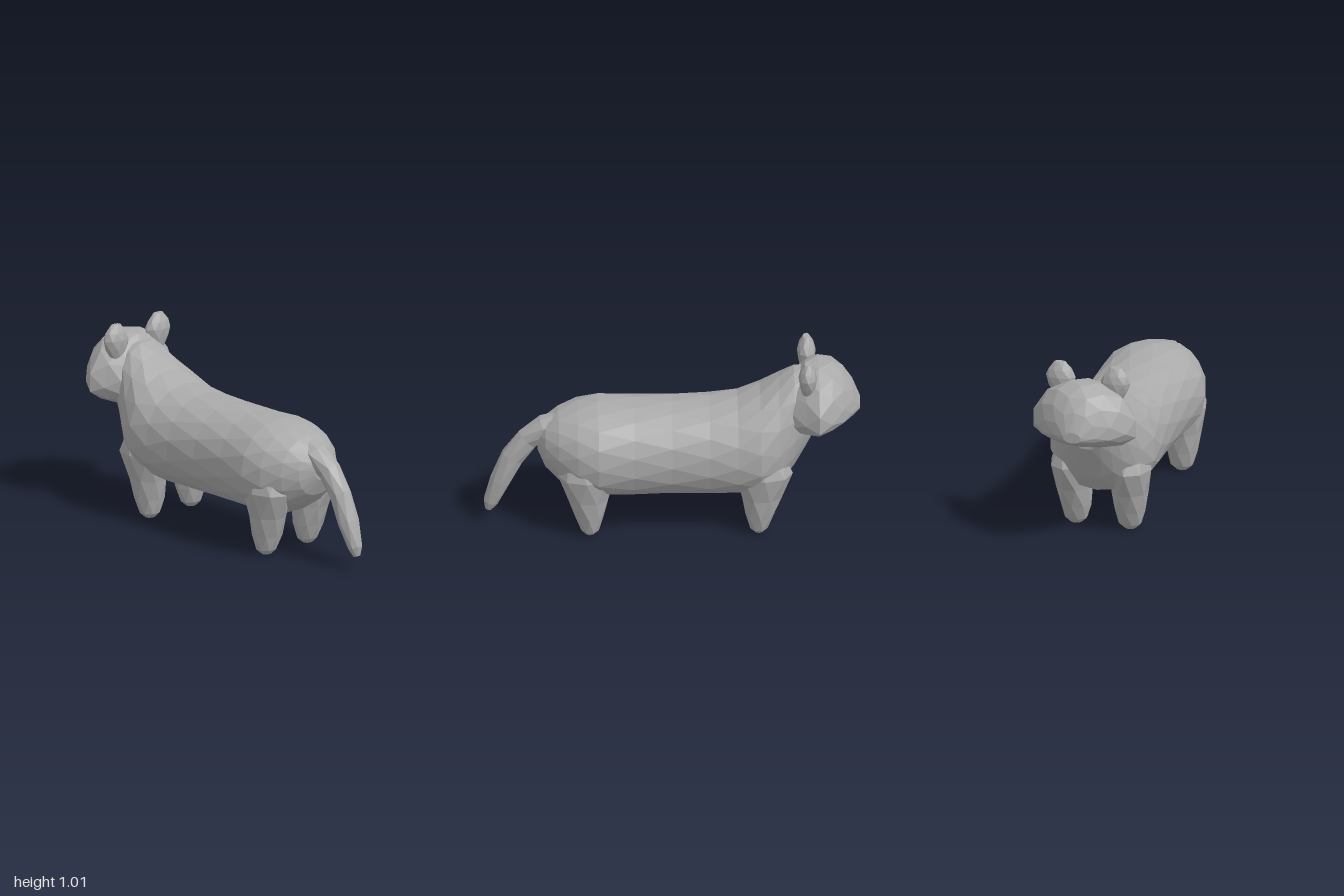
import * as THREE from 'three';

const fur = new THREE.MeshStandardMaterial({ color: 0xaaaaaa, flatShading: true });
fur.name = 'grey fur';

// Closed skin over oval sections [x, y, z, halfWidth, up, down, tilt].
// Tilt turns a section about x: 0 faces along -z, 90 faces along +y.
function loft(name, sections, sides, power = 1) {
  const pos = [], index = [];
  const bulge = (v) => Math.sign(v) * Math.pow(Math.abs(v), power);
  sections.forEach(([x, y, z, w, up, down, tilt = 0], i) => {
    const t = THREE.MathUtils.degToRad(tilt);
    for (let j = 0; j < sides; j++) {
      const a = ((j + (i % 2) * 0.5) / sides) * Math.PI * 2;
      const s = bulge(Math.sin(a)), r = s * (s > 0 ? up : down);
      pos.push(x + w * bulge(Math.cos(a)), y + r * Math.cos(t), z + r * Math.sin(t));
    }
  });
  const last = sections.length - 1;
  for (let i = 0; i < last; i++) {
    for (let j = 0; j < sides; j++) {
      const k = (j + 1) % sides;
      const a = i * sides + j, b = i * sides + k, c = a + sides, d = b + sides;
      if (i % 2) index.push(a, c, d, a, d, b);
      else index.push(a, c, b, b, c, d);
    }
  }
  // end caps
  const first = sections[0], end = sections[last], n = pos.length / 3;
  pos.push(...first.slice(0, 3), ...end.slice(0, 3));
  for (let j = 0; j < sides; j++) {
    const k = (j + 1) % sides;
    index.push(n, j, k, n + 1, last * sides + k, last * sides + j);
  }
  const geo = new THREE.BufferGeometry();
  geo.setAttribute('position', new THREE.Float32BufferAttribute(pos, 3));
  geo.setIndex(index);
  geo.computeVertexNormals();
  const mesh = new THREE.Mesh(geo, fur);
  mesh.name = name;
  return mesh;
}

export function createModel() {
  const model = new THREE.Group();
  model.name = 'animal';

  // trunk from rump to neck: z, centre y, half width, up, down
  const trunk = [
    [0.71, 0.5, 0.06, 0.06, 0.06], [0.67, 0.48, 0.14, 0.13, 0.13],
    [0.6, 0.47, 0.205, 0.19, 0.19], [0.5, 0.46, 0.265, 0.235, 0.24],
    [0.39, 0.45, 0.295, 0.265, 0.25], [0.2, 0.45, 0.28, 0.26, 0.25],
    [0, 0.45, 0.275, 0.26, 0.25], [-0.2, 0.45, 0.28, 0.265, 0.25],
    [-0.35, 0.45, 0.29, 0.285, 0.25], [-0.47, 0.46, 0.295, 0.325, 0.25],
    [-0.57, 0.5, 0.25, 0.35, 0.26], [-0.65, 0.62, 0.2, 0.28, 0.28],
    [-0.71, 0.7, 0.17, 0.2, 0.25], [-0.76, 0.72, 0.12, 0.15, 0.18],
  ];
  model.add(loft('body', trunk.map(([z, y, ...r]) => [0, y, z, ...r]), 16, 0.92));

  // head with wide low cheeks and a blunt muzzle
  const skull = [
    [-0.61, 0.68, 0.12, 0.1, 0.09], [-0.64, 0.68, 0.2, 0.16, 0.12],
    [-0.71, 0.68, 0.25, 0.25, 0.13], [-0.78, 0.68, 0.295, 0.265, 0.115],
    [-0.85, 0.69, 0.25, 0.245, 0.1], [-0.91, 0.69, 0.19, 0.205, 0.075],
    [-0.96, 0.69, 0.12, 0.135, 0.045], [-1, 0.69, 0.05, 0.035, 0.025],
  ];
  model.add(loft('head', skull.map(([z, y, ...r]) => [0, y, z, ...r]), 12));

  // drooping tail from tip to root
  model.add(loft('tail', [
    [0, 0.075, 0.97, 0.02, 0.018, 0.018, 75], [0, 0.12, 0.958, 0.04, 0.04, 0.04, 72],
    [0, 0.25, 0.905, 0.058, 0.058, 0.055, 66], [0, 0.39, 0.845, 0.06, 0.06, 0.065, 60],
    [0, 0.5, 0.765, 0.06, 0.06, 0.07, 45], [0, 0.57, 0.67, 0.08, 0.06, 0.07, 28],
    [0, 0.61, 0.56, 0.06, 0.05, 0.06, 12],
  ], 8));

  for (const side of [1, -1]) {
    const sideName = side > 0 ? 'left' : 'right';

    // stubby legs, foot to shoulder or hip
    for (const [name, z, lean] of [['Front', -0.46, -0.03], ['Back', 0.435, 0.02]]) {
      const leg = [
        [0.15, 0.003, 0, 0.03, 0.025], [0.15, 0.03, 0, 0.062, 0.05],
        [0.15, 0.11, 0.2, 0.086, 0.078], [0.155, 0.22, 0.5, 0.098, 0.112],
        [0.17, 0.36, 1, 0.108, 0.15], [0.16, 0.48, 1, 0.08, 0.1],
      ];
      model.add(loft(sideName + name + 'Leg', leg.map(([x, y, f, w, d]) =>
        [side * x, y, z + f * lean, w, d, d, 90]), 8));
    }

    // rounded upright ears
    model.add(loft(sideName + 'Ear', [
      [0.145, 0.82, -0.72, 0.04, 0.03], [0.15, 0.88, -0.72, 0.07, 0.045],
      [0.152, 0.93, -0.72, 0.083, 0.05], [0.155, 0.97, -0.72, 0.065, 0.04],
      [0.155, 1.01, -0.72, 0.032, 0.018],
    ].map(([x, y, z, w, d]) => [side * x, y, z, w, d, d, 90]), 8));
  }
  return model;
}
